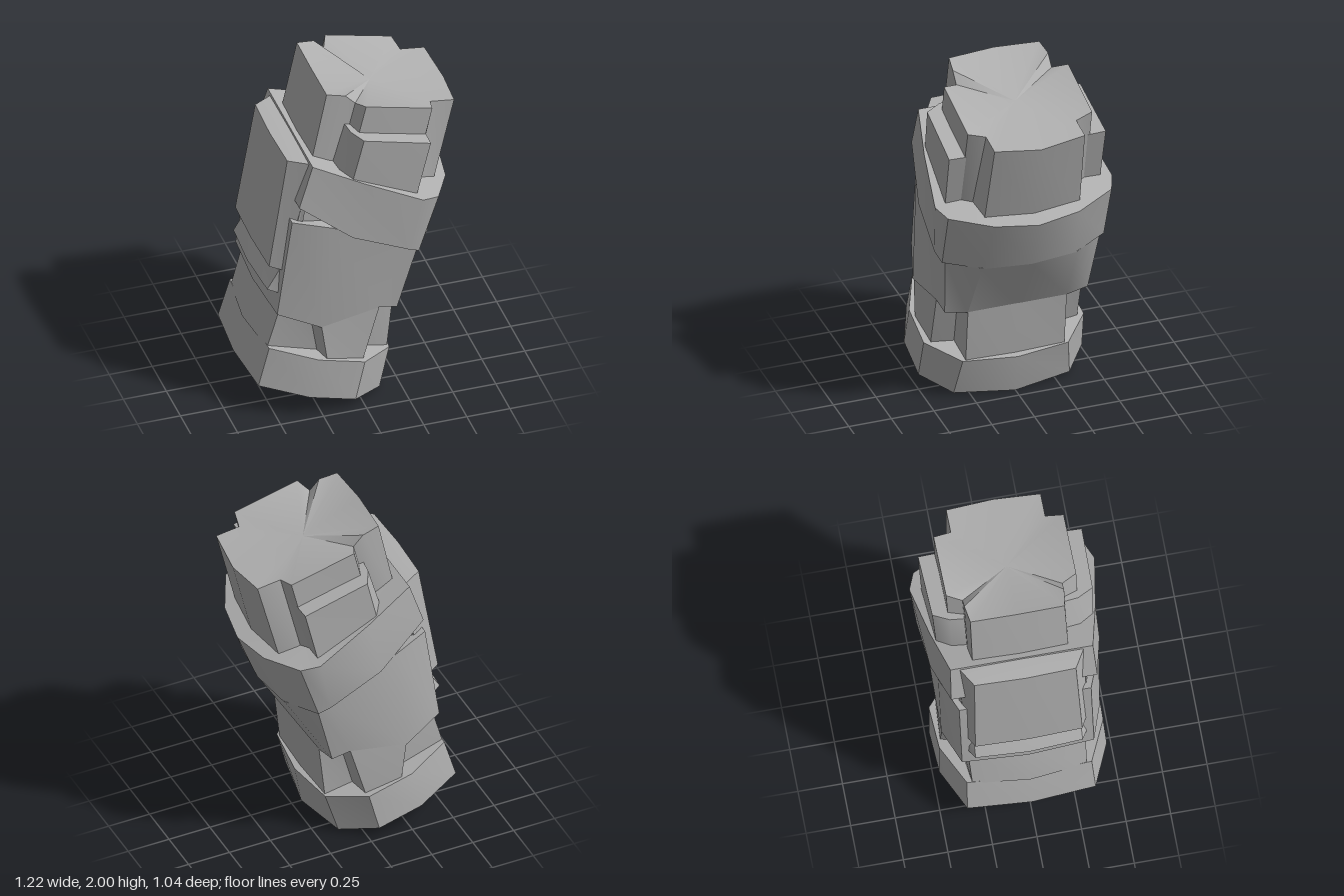
import * as THREE from 'three';
import { toCreasedNormals } from 'three/addons/utils/BufferGeometryUtils.js';

const stone = new THREE.MeshStandardMaterial({ color: 0xb0b0b0 });
stone.name = 'grey stone';

// Half outline [u, z, v] running from the +x side to the -x side, mirrored in z
function ring(half, v) {
  const pts = half.map(p => new THREE.Vector3(p[0], p[2] ?? v, p[1]));
  const back = pts.slice(1, -1).reverse().map(p => new THREE.Vector3(p.x, p.y, -p.z));
  return [...pts, ...back];
}

// Solid between a lower and an upper ring, closed by fans around the given centres
function loft(name, lower, upper, lowCentre, highCentre) {
  const pos = [];
  const tri = (...p) => p.forEach(q => pos.push(q.x, q.y, q.z));
  const c0 = new THREE.Vector3(lowCentre[0], lowCentre[1], 0);
  const c1 = new THREE.Vector3(highCentre[0], highCentre[1], 0);
  lower.forEach((a, i) => {
    const j = (i + 1) % lower.length;
    const b = lower[j], at = upper[i], bt = upper[j];
    tri(a, at, bt);
    tri(a, bt, b);
    tri(c1, bt, at);
    tri(c0, a, b);
  });
  const geo = new THREE.BufferGeometry();
  geo.setAttribute('position', new THREE.Float32BufferAttribute(pos, 3));
  const mesh = new THREE.Mesh(toCreasedNormals(geo, 0.55), stone);
  mesh.name = name;
  return mesh;
}

export function createModel() {
  const model = new THREE.Group();
  model.name = 'leaningStonePillar';

  // Plinth with a slightly bulging underside
  model.add(loft('plinth',
    ring([[0.185, 0], [0.12, 0.34], [-0.07, 0.48], [-0.34, 0.47], [-0.61, 0.36], [-0.64, 0]], 0.045),
    ring([[0.17, 0], [0.13, 0.31], [-0.068, 0.47], [-0.34, 0.46], [-0.6, 0.35], [-0.625, 0]], 0.285),
    [-0.38, 0.02], [-0.25, 0.285]));

  // Shaft foot with notched corners
  model.add(loft('shaftFoot',
    ring([[0.135, 0], [0.125, 0.29], [-0.045, 0.3], [-0.065, 0.43], [-0.28, 0.445], [-0.31, 0.35],
      [-0.6, 0.32], [-0.64, 0]], 0.27),
    ring([[0.08, 0], [0.08, 0.29], [-0.035, 0.31], [-0.05, 0.43], [-0.37, 0.44, 0.5], [-0.42, 0.36, 0.53],
      [-0.59, 0.33, 0.54], [-0.63, 0, 0.54]], 0.62),
    [-0.25, 0.27], [-0.25, 0.6]));

  // Shaft, flaring towards the band and overhanging the notches
  model.add(loft('shaft',
    ring([[0.08, 0, 0.605], [0.08, 0.29, 0.605], [0.06, 0.42, 0.62], [-0.05, 0.435, 0.625], [-0.37, 0.445, 0.49],
      [-0.615, 0.37, 0.52], [-0.64, 0, 0.52]]),
    ring([[0.223, 0, 1.04], [0.19, 0.28, 1.04], [0.07, 0.455, 1.03], [0, 0.465, 1.05], [-0.46, 0.45, 1.145],
      [-0.67, 0.37, 1.124], [-0.67, 0, 1.124]]),
    [-0.25, 0.57], [-0.25, 1.1]));

  // Recessed core behind the band
  model.add(loft('core',
    ring([[0.1, 0], [0, 0.36], [-0.63, 0.35], [-0.64, 0]], 1.0),
    ring([[0.1, 0], [0, 0.36], [-0.63, 0.35], [-0.64, 0]], 1.35),
    [-0.25, 1.0], [-0.25, 1.35]));

  // Slanting band around the top of the shaft
  model.add(loft('band',
    ring([[0.225, 0, 1.04], [0.192, 0.27, 1.035], [0.075, 0.475, 1.025], [0, 0.495, 1.045], [-0.336, 0.475, 1.1],
      [-0.67, 0.41, 1.245], [-0.67, 0, 1.245]]),
    ring([[0.27, 0, 1.375], [0.225, 0.25, 1.38], [0.105, 0.48, 1.385], [0, 0.52, 1.385], [-0.35, 0.465, 1.45],
      [-0.65, 0.4, 1.51], [-0.65, 0, 1.51]]),
    [-0.25, 1.12], [-0.25, 1.43]));

  // Raised panel with slanted cheeks, and the small ledge below it
  model.add(loft('sidePanel',
    ring([[-0.55, 0], [-0.58, 0.36], [-0.705, 0.3], [-0.715, 0]], 0.79),
    ring([[-0.55, 0, 1.5], [-0.63, 0.36, 1.5], [-0.755, 0.285, 1.475], [-0.765, 0, 1.475]]),
    [-0.64, 0.79], [-0.65, 1.5]));
  model.add(loft('sideLedge',
    ring([[-0.55, 0], [-0.58, 0.36], [-0.68, 0.3], [-0.7, 0]], 0.64),
    ring([[-0.55, 0], [-0.58, 0.36], [-0.64, 0.3], [-0.655, 0]], 0.765),
    [-0.62, 0.64], [-0.61, 0.765]));

  // Shoulder blocks on front and back of the head
  model.add(loft('shoulderBlock',
    ring([[0, 0, 1.37], [-0.015, 0.455, 1.37], [-0.41, 0.44, 1.44], [-0.47, 0.36, 1.46], [-0.52, 0, 1.46]]),
    ring([[0, 0], [-0.015, 0.46], [-0.41, 0.45], [-0.46, 0.36], [-0.5, 0]], 1.72),
    [-0.25, 1.4], [-0.25, 1.72]));

  // Lobed head with a shallow sunken top
  model.add(loft('head',
    ring([[0.18, 0], [0.145, 0.28], [0.02, 0.31], [-0.015, 0.37], [-0.41, 0.36], [-0.44, 0.27],
      [-0.51, 0.28], [-0.6, 0.27], [-0.61, 0]], 1.36),
    ring([[0.18, 0, 1.865], [0.15, 0.265, 1.885], [0.01, 0.265, 1.87], [-0.015, 0.365, 1.89], [-0.41, 0.365, 1.89],
      [-0.44, 0.28, 1.86], [-0.51, 0.28, 1.905], [-0.615, 0.265, 1.9], [-0.625, 0, 1.91]]),
    [-0.25, 1.36], [-0.254, 1.84]));

  // Lean the whole pillar to its left
  model.rotation.z = -0.235;
  const root = new THREE.Group();
  root.name = 'pillar';
  root.add(model);
  return root;
}
